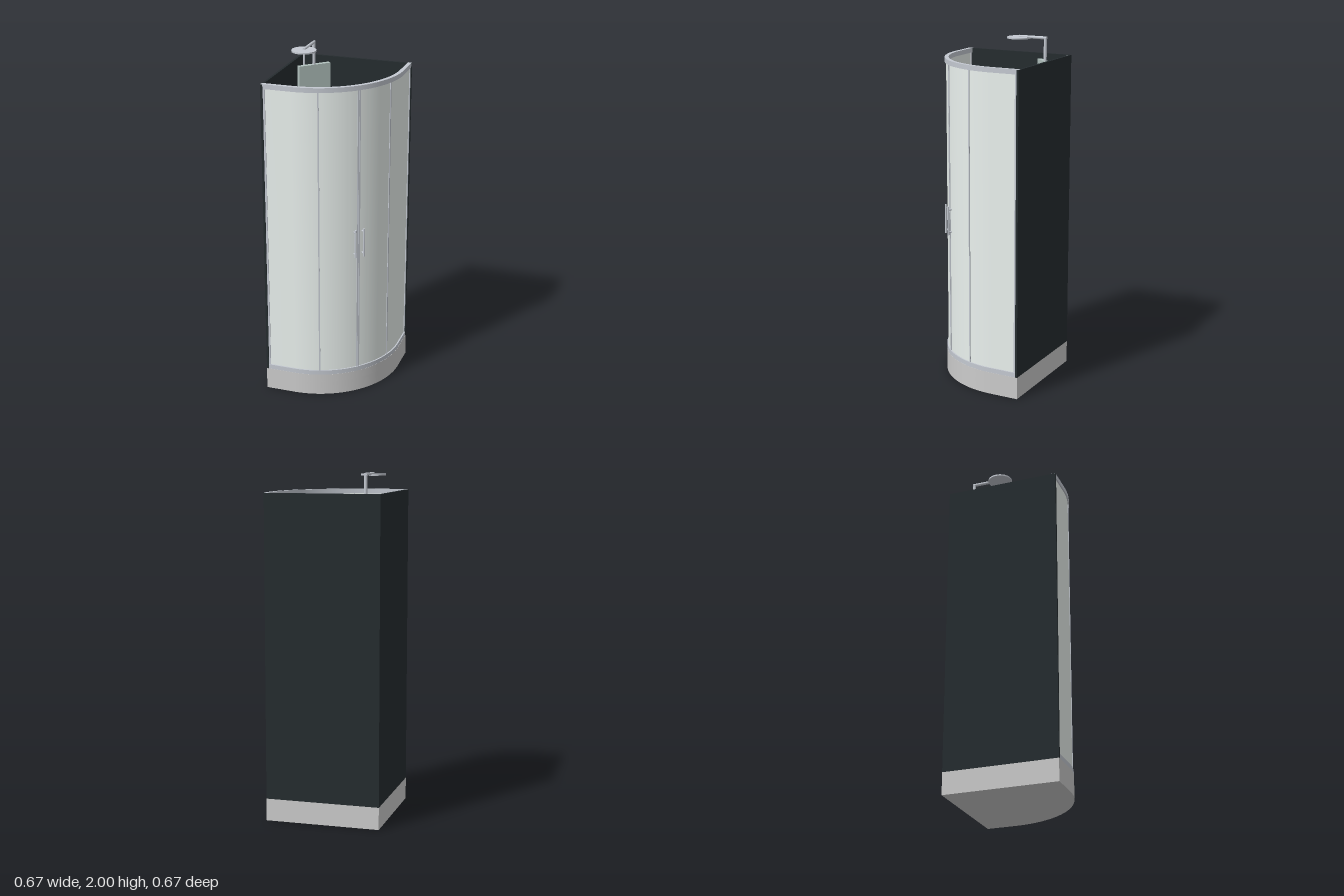
import * as THREE from 'three';
import { toCreasedNormals } from 'three/addons/utils/BufferGeometryUtils.js';

const H = 0.335;          // half width of the square footprint
const C = -0.165;         // centre of the quarter-round front, in x and z
const R = 0.5;            // outer radius of the front

const mat = (color) => new THREE.MeshStandardMaterial({ color, side: THREE.DoubleSide });

export function createModel() {
  const model = new THREE.Group();
  const grey = mat(0xcccccc), glass = mat(0xeaf1ee), metal = mat(0xc4c9d1);
  const wall = mat(0x252c2f), panelMat = mat(0xb2c2be), black = mat(0x333537);

  const add = (name, geo, material, pos = [0, 0, 0], parent = model) => {
    const m = new THREE.Mesh(geo, material);
    m.name = name;
    m.position.set(...pos);
    parent.add(m);
    return m;
  };
  const box = (name, size, pos, material, parent) =>
    add(name, new THREE.BoxGeometry(...size), material, pos, parent);
  const rod = (name, a, b, r, material, parent = model) => {
    const A = new THREE.Vector3(...a), B = new THREE.Vector3(...b);
    const m = add(name, new THREE.CylinderGeometry(r, r, A.distanceTo(B), 20), material,
      A.clone().add(B).multiplyScalar(0.5).toArray(), parent);
    m.quaternion.setFromUnitVectors(new THREE.Vector3(0, 1, 0), B.sub(A).normalize());
    return m;
  };
  // plan shapes use (x, -z); extruding raises them along y
  const raise = (shape, y0, y1) => {
    const g = new THREE.ExtrudeGeometry(shape, { depth: y1 - y0, bevelEnabled: false, curveSegments: 40 });
    return toCreasedNormals(g.rotateX(-Math.PI / 2).translate(0, y0, 0), 0.5);
  };
  // quadrant footprint, inset by d
  const quadrant = (d, Type = THREE.Shape) => {
    const s = new Type(), r = R - d, e = H - d;
    s.moveTo(-e, e);
    s.lineTo(-e, -e);
    s.lineTo(C, -e);
    s.absarc(C, -C, r, -Math.PI / 2, 0, false);
    s.lineTo(e, e);
    s.closePath();
    return s;
  };
  // strip that follows the open front between two radii
  const band = (rIn, rOut, end) => {
    const s = new THREE.Shape();
    s.moveTo(-end, C * -1 - rOut);
    s.lineTo(C, -C - rOut);
    s.absarc(C, -C, rOut, -Math.PI / 2, 0, false);
    s.lineTo(C + rOut, end);
    s.lineTo(C + rIn, end);
    s.lineTo(C + rIn, -C);
    s.absarc(C, -C, rIn, 0, -Math.PI / 2, true);
    s.lineTo(-end, -C - rIn);
    s.closePath();
    return s;
  };

  // tray: slab, rim and sloping basin side
  const floorY = 0.08, rimY = 0.13;
  add('trayBase', raise(quadrant(0), 0, floorY), grey);
  const rim = quadrant(0);
  rim.holes.push(quadrant(0.035, THREE.Path));
  add('trayRim', raise(rim, floorY, rimY), grey);
  const top = quadrant(0.035).getPoints(40), low = quadrant(0.055).getPoints(40);
  const pos = [], idx = [];
  top.forEach((p, i) => {
    pos.push(p.x, rimY, -p.y, low[i].x, floorY, -low[i].y);
    if (i < top.length - 1) idx.push(2 * i, 2 * i + 2, 2 * i + 1, 2 * i + 1, 2 * i + 2, 2 * i + 3);
  });
  const slope = new THREE.BufferGeometry();
  slope.setAttribute('position', new THREE.Float32BufferAttribute(pos, 3));
  slope.setIndex(idx);
  add('basinSide', toCreasedNormals(slope, 0.5), grey);
  add('drainCover', new THREE.CylinderGeometry(0.024, 0.024, 0.008, 32), metal, [-0.253, floorY + 0.004, -0.253]);

  // dark walls
  const wallH = 1.758, wallY = rimY + wallH / 2;
  box('backWall', [2 * H, wallH, 0.013], [0, wallY, -H + 0.0065], wall);
  box('sideWall', [0.013, wallH, 2 * H], [-H + 0.0065, wallY, 0], wall);
  box('cornerTrim', [0.008, wallH, 0.008], [-0.318, wallY, -0.318], metal);

  // curved front: rails, glass and uprights
  add('bottomRail', raise(band(0.476, 0.499, 0.333), rimY, 0.157), metal);
  add('topRail', raise(band(0.476, 0.499, 0.333), 1.863, 1.89), metal);
  add('curvedGlass', raise(band(0.485, 0.491, 0.32), 0.157, 1.863), glass);
  const onArc = (deg, r, y) => {
    const a = deg * Math.PI / 180;
    return [C + r * Math.cos(a), y, C + r * Math.sin(a)];
  };
  for (const deg of [18, 44.4, 45.6, 72]) {
    const u = box('upright', [0.014, 1.706, 0.008], onArc(deg, 0.488, 1.01), metal);
    u.rotation.y = -deg * Math.PI / 180;
  }
  box('frontWallPost', [0.012, 1.706, 0.016], [-0.317, 1.01, 0.323], metal);
  box('sideWallPost', [0.016, 1.706, 0.012], [0.323, 1.01, -0.317], metal);

  // paired door handles
  for (const deg of [42, 48]) {
    const handle = new THREE.Group();
    handle.name = 'doorHandle';
    model.add(handle);
    rod('handleBar', onArc(deg, 0.511, 0.875), onArc(deg, 0.511, 1.045), 0.006, metal, handle);
    for (const y of [0.893, 1.027])
      rod('handlePeg', onArc(deg, 0.474, y), onArc(deg, 0.514, y), 0.005, metal, handle);
  }

  // corner shower column; its local +z faces the room
  const column = new THREE.Group();
  column.name = 'showerColumn';
  column.position.set(-0.222, 0, -0.223);
  column.rotation.y = Math.PI / 4;
  model.add(column);
  box('columnPanel', [0.2, 1.16, 0.026], [0, 1.28, 0], panelMat, column);
  for (const y of [0.9, 1.2, 1.5])
    for (const x of [-0.055, 0.055])
      rod('bodyJet', [x, y, 0.012], [x, y, 0.03], 0.016, metal, column);
  rod('mixerBody', [0, 1.05, 0.012], [0, 1.05, 0.052], 0.019, metal, column);
  box('mixerPlate', [0.036, 0.1, 0.01], [0, 1.05, 0.017], black, column);

  // overhead rain shower
  const armY = 1.991;
  rod('rainPole', [-0.222, 1.8, -0.222], [-0.222, armY, -0.222], 0.009, metal);
  rod('rainArm', [-0.222, armY, -0.231], [-0.222, armY, -0.055], 0.009, metal);
  add('rainHead', new THREE.CylinderGeometry(0.071, 0.071, 0.009, 48), metal, [-0.222, 1.985, -0.055]);

  // hand shower on its slide bar
  rod('slideBar', [-0.08, 0.95, -0.292], [-0.08, 1.6, -0.292], 0.007, metal);
  for (const y of [0.97, 1.58])
    rod('barBracket', [-0.08, y, -0.323], [-0.08, y, -0.292], 0.006, metal);
  rod('handHolder', [-0.08, 1.48, -0.292], [-0.08, 1.48, -0.255], 0.01, metal);
  rod('handGrip', [-0.08, 1.36, -0.268], [-0.08, 1.5, -0.255], 0.009, metal);
  rod('handHead', [-0.08, 1.5, -0.255], [-0.08, 1.51, -0.228], 0.032, metal);
  rod('handHeadFace', [-0.08, 1.51, -0.228], [-0.08, 1.511, -0.2255], 0.029, black);
  const hose = new THREE.CatmullRomCurve3([[-0.168, 1.03, -0.205], [-0.155, 0.85, -0.213],
    [-0.125, 0.76, -0.234], [-0.095, 0.9, -0.255], [-0.08, 1.36, -0.268]].map((p) => new THREE.Vector3(...p)));
  add('showerHose', new THREE.TubeGeometry(hose, 48, 0.005, 10), metal);

  // wall seat with a metal bar
  box('seat', [0.19, 0.02, 0.213], [-0.227, 0.53, -0.0015], glass);
  box('seatBar', [0.01, 0.022, 0.213], [-0.169, 0.531, -0.0015], metal);

  return model;
}
